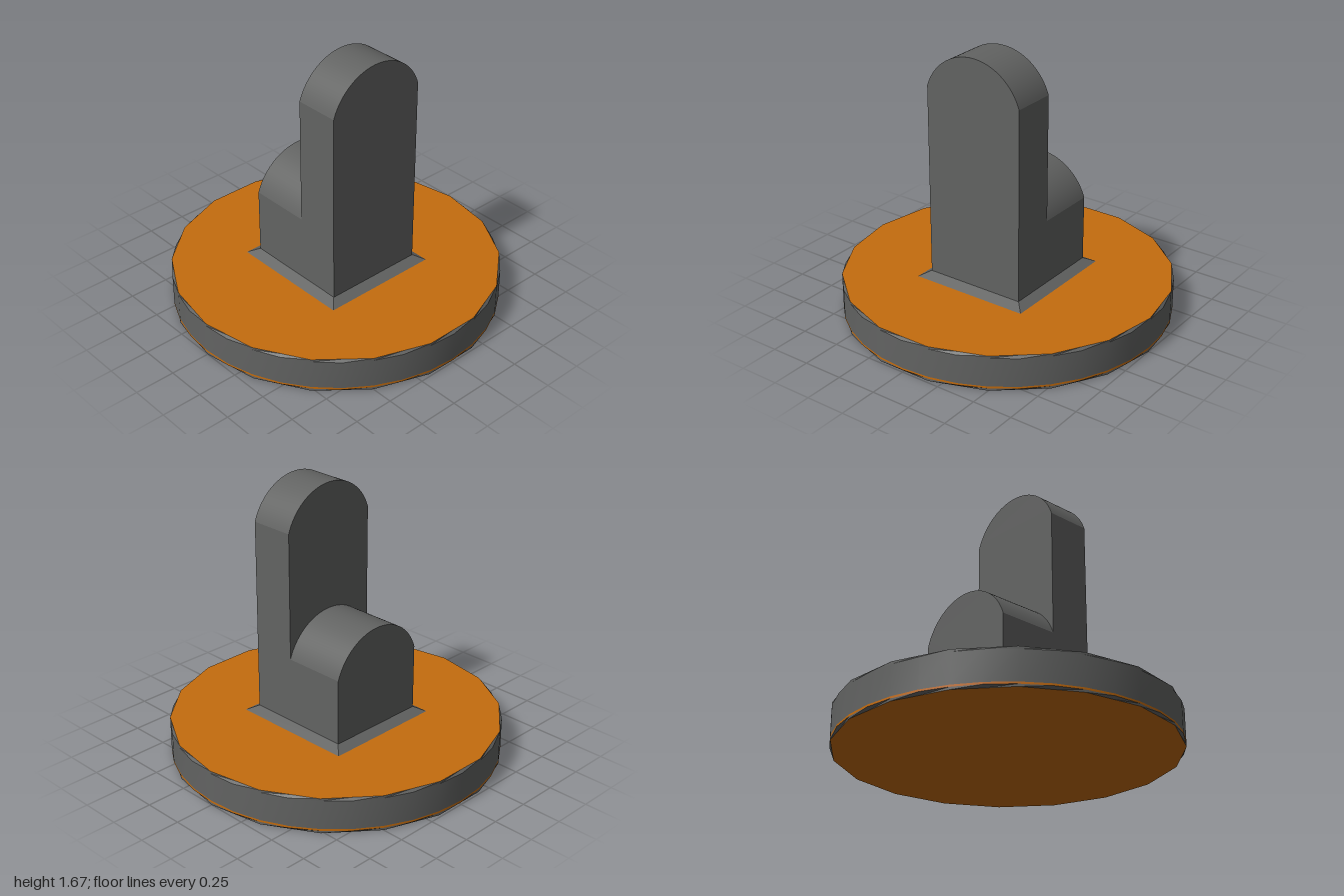
import * as THREE from 'three';
import { toCreasedNormals } from 'three/addons/utils/BufferGeometryUtils.js';

const grey = new THREE.MeshStandardMaterial({ color: 0x626362 });
const orange = new THREE.MeshStandardMaterial({ color: 0xc46c0e });

const SIDES = 36;
const PINCH = Math.cos(Math.PI / 18); // brings every second corner onto the 18-gon

// Ring wall between two heights; a pinched loop becomes an 18-sided outline
function wall(y0, pinch0, y1, pinch1) {
  const pos = [], index = [];
  for (let i = 0; i <= SIDES; i++) {
    const a = (i / SIDES) * Math.PI * 2;
    for (const [y, pinch] of [[y0, pinch0], [y1, pinch1]]) {
      const r = pinch && i % 2 ? PINCH : 1;
      pos.push(Math.sin(a) * r, y, Math.cos(a) * r);
    }
    if (i < SIDES) {
      const b = i * 2;
      index.push(b, b + 2, b + 3, b, b + 3, b + 1);
    }
  }
  const g = new THREE.BufferGeometry();
  g.setAttribute('position', new THREE.Float32BufferAttribute(pos, 3));
  g.setIndex(index);
  return toCreasedNormals(g, 0.4);
}

// Upright slab with an arched top, running along x
function archedSlab(x0, x1, top) {
  const half = 0.32, rise = 0.23, base = 0.23;
  const r = (half * half + rise * rise) / (2 * rise);
  const a = Math.asin(half / r);
  const shape = new THREE.Shape();
  shape.moveTo(-half, base);
  shape.lineTo(half, base);
  shape.lineTo(half, top - rise);
  shape.absarc(0, top - r, r, Math.PI / 2 - a, Math.PI / 2 + a, false);
  shape.closePath();
  const g = new THREE.ExtrudeGeometry(shape, { depth: x1 - x0, bevelEnabled: false, curveSegments: 24 });
  g.rotateY(Math.PI / 2).translate(x0, 0, 0);
  return toCreasedNormals(g, 0.25);
}

export function createModel() {
  const model = new THREE.Group();
  const add = (name, geometry, material) => {
    const mesh = new THREE.Mesh(geometry, material);
    mesh.name = name;
    model.add(mesh);
    return mesh;
  };

  // Round base: 18-sided faces joined by a finer rim
  const face = new THREE.CircleGeometry(1, 18, Math.PI / 2);
  add('baseTop', face.clone().rotateX(-Math.PI / 2).translate(0, 0.222, 0), orange);
  add('baseBottom', face.clone().rotateX(Math.PI / 2), orange);
  add('rimUpperBevel', wall(0.207, false, 0.222, true), grey);
  add('rim', wall(0.027, false, 0.207, false), grey);
  add('rimStripe', wall(0.015, false, 0.027, false), orange);
  add('rimLowerBevel', wall(0, true, 0.015, false), grey);

  // Sloped square skirt round the foot of the post
  const skirt = new THREE.CylinderGeometry(0.32 * Math.SQRT2, 0.378 * Math.SQRT2, 0.032, 4, 1, false, Math.PI / 4);
  skirt.scale(1.045, 1, 1).translate(0, 0.238, 0);
  add('skirt', toCreasedNormals(skirt, 0.2), grey);

  // Stepped post: low and tall arched slabs side by side
  add('lowSlab', archedSlab(-0.335, 0.055, 0.89), grey);
  add('tallSlab', archedSlab(0.055, 0.335, 1.67), grey);

  return model;
}
